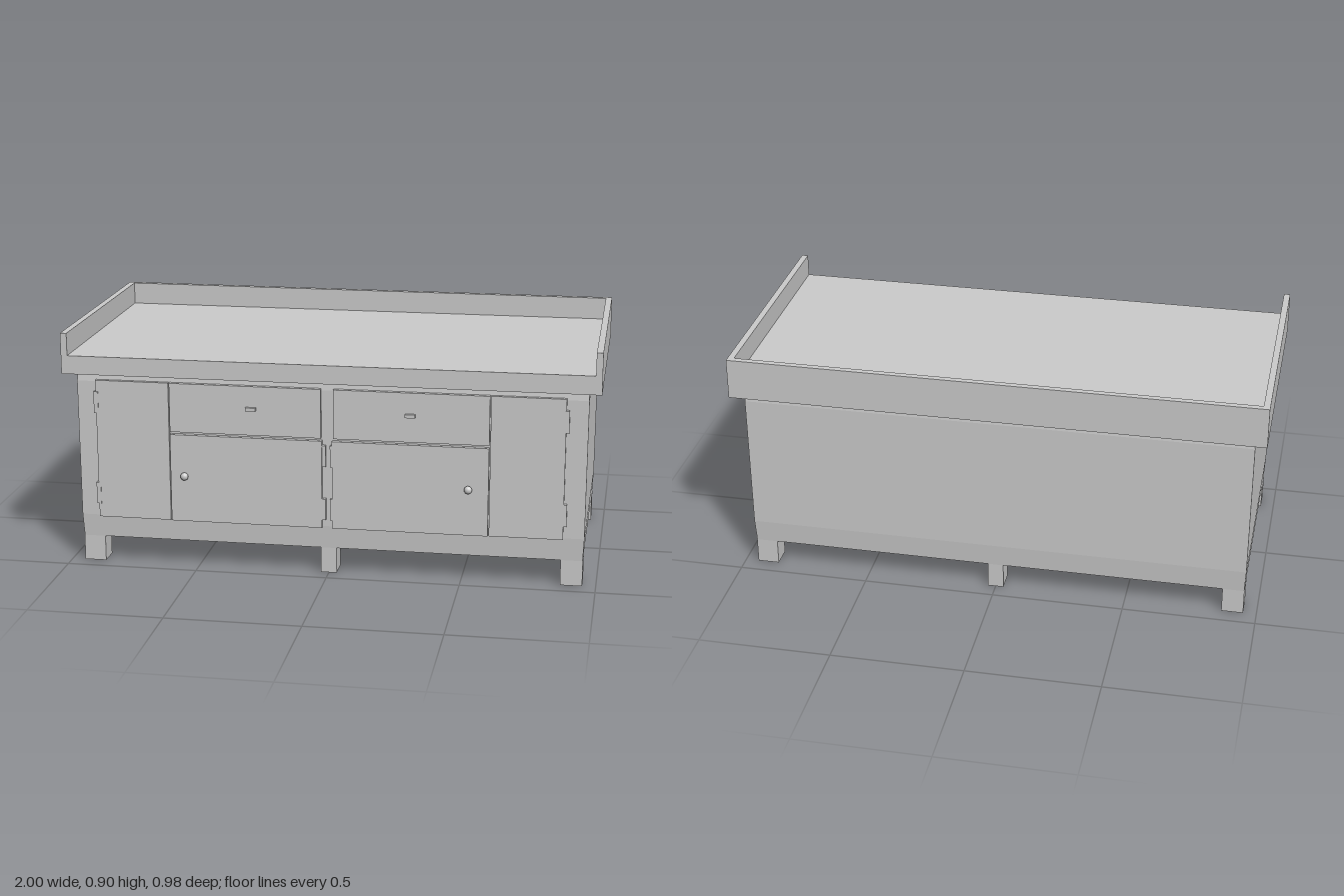
import * as THREE from 'three';

const material = new THREE.MeshStandardMaterial({ color: 0xcccccc });

export function createModel() {
  const model = new THREE.Group();

  const add = (name, geometry) => {
    const mesh = new THREE.Mesh(geometry, material);
    mesh.name = name;
    model.add(mesh);
    return mesh;
  };

  // Box given by its lower and upper limits on each axis
  const block = (name, [x0, x1], [y0, y1], [z0, z1]) => {
    const mesh = add(name, new THREE.BoxGeometry(x1 - x0, y1 - y0, z1 - z0));
    mesh.position.set((x0 + x1) / 2, (y0 + y1) / 2, (z0 + z1) / 2);
    return mesh;
  };

  // Cabinet body: rings of a plan outline, slightly narrower at top and bottom
  const rings = [
    [0.098, 0.949, 0.438], [0.185, 0.953, 0.444],
    [0.71, 0.955, 0.444], [0.748, 0.951, 0.439],
  ];
  const corners = [[-1, 1], [1, 1], [1, -1], [-1, -1]];
  const points = rings.flatMap(([y, x, z]) => corners.flatMap(([sx, sz]) => [sx * x, y, sz * z]));
  const faces = [0, 2, 1, 0, 3, 2, 12, 13, 14, 12, 14, 15];
  for (let r = 0; r < rings.length - 1; r++) {
    for (let i = 0; i < 4; i++) {
      const a = r * 4 + i, b = r * 4 + (i + 1) % 4;
      faces.push(a, b, b + 4, a, b + 4, a + 4);
    }
  }
  const body = new THREE.BufferGeometry();
  body.setAttribute('position', new THREE.Float32BufferAttribute(points, 3));
  body.setIndex(faces);
  const flatBody = body.toNonIndexed();
  flatBody.computeVertexNormals();
  add('cabinetBody', flatBody);

  // Worktop with a raised rim at the back and both sides
  block('worktop', [-1, 1], [0.745, 0.815], [-0.49, 0.49]);
  block('backRim', [-0.976, 0.976], [0.815, 0.9], [-0.49, -0.467]);
  for (const s of [-1, 1]) {
    block('sideRim', s < 0 ? [-1, -0.976] : [0.976, 1], [0.815, 0.9], [-0.49, 0.49]);
  }

  // Six feet, flush with the outside of the body
  for (const s of [-1, 1]) {
    const z = s < 0 ? [-0.438, -0.355] : [0.355, 0.438];
    block('cornerFoot', [-0.95, -0.868], [0, 0.1], z);
    block('cornerFoot', [0.868, 0.95], [0, 0.1], z);
    block('middleFoot', [-0.03, 0.03], [0, 0.1], z);
  }

  // Front panels, doors, drawers and their fittings, mirrored left and right
  for (const s of [-1, 1]) {
    const span = (a, b) => (s < 0 ? [-b, -a] : [a, b]);
    const shift = s < 0 ? 0.006 : 0;
    block('outerPanel', span(0.602, 0.875 + shift), [0.183, 0.717], [0.43, 0.458]);
    block('drawerFront', span(0.02 + shift, 0.598), [0.53, 0.717], [0.43, 0.46]);
    block('cupboardDoor', span(0.016 + shift, 0.598), [0.183, 0.52], [0.43, 0.462]);

    // Drawer pull
    block('drawerPull', s < 0 ? [-0.307, -0.269] : [0.288, 0.326], [0.625, 0.638], [0.455, 0.472]);

    // Round door knob on a short stem
    const knobX = s < 0 ? -0.543 : 0.524;
    const stem = add('knobStem', new THREE.CylinderGeometry(0.008, 0.008, 0.02, 12));
    stem.rotation.x = Math.PI / 2;
    stem.position.set(knobX, 0.362, 0.465);
    const knob = add('doorKnob', new THREE.SphereGeometry(0.015, 16, 12));
    knob.scale.z = 0.9;
    knob.position.set(knobX, 0.362, 0.474);

    // Hinges at the outer panels and beside the centre post
    for (const y of [0.235, 0.59]) {
      block('outerHinge', span(0.872, 0.886 + shift / 2), [y, y + 0.083], [0.438, 0.46]);
    }
    for (const y of [0.213, 0.42]) {
      block('centreHinge', span(0.008, 0.018 + shift), [y, y + 0.082], [0.438, 0.459]);
    }
  }

  return model;
}
